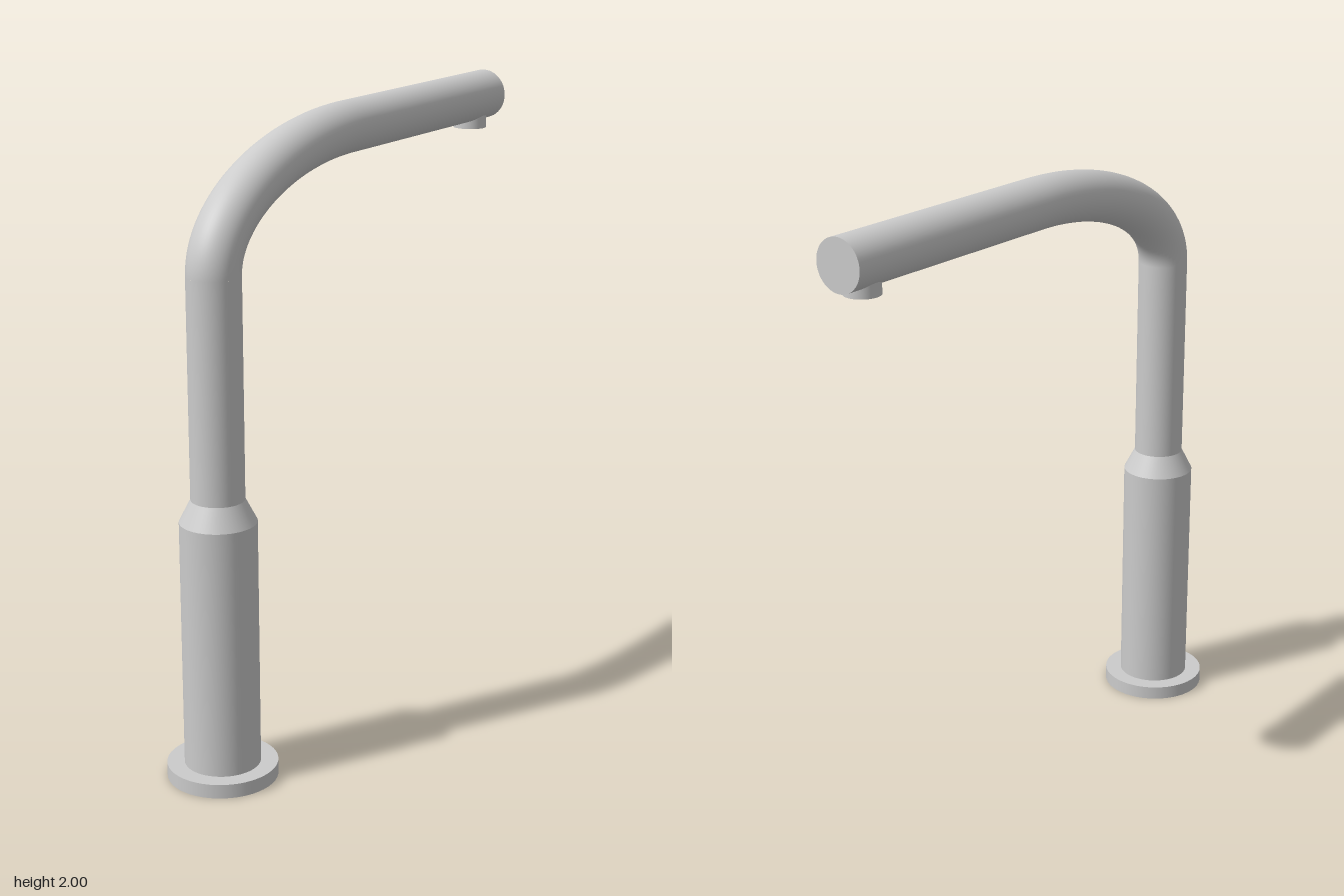
import * as THREE from 'three';

const SIDES = 48;
const BASE_Z = 0.705; // axis of the upright column
const PIPE_R = 0.082;
const BEND_Y = 1.58, TOP_Y = 1.918, END_Z = -0.875;

export function createModel() {
  const group = new THREE.Group();
  const material = new THREE.MeshStandardMaterial({ color: 0xcccccc });

  const add = (name, geometry, x, y, z) => {
    const mesh = new THREE.Mesh(geometry, material);
    mesh.name = name;
    mesh.position.set(x, y, z);
    group.add(mesh);
    return mesh;
  };
  const cylinder = (rTop, rBottom, height, open = false) =>
    new THREE.CylinderGeometry(rTop, rBottom, height, SIDES, 1, open);

  // Upright column: flange, thick body, tapered shoulder, slim neck
  add('baseFlange', cylinder(0.172, 0.172, 0.045), 0, 0.0225, BASE_Z);
  add('body', cylinder(0.118, 0.118, 0.785, true), 0, 0.4375, BASE_Z);
  add('shoulder', cylinder(PIPE_R, 0.118, 0.07, true), 0, 0.865, BASE_Z);
  add('neck', cylinder(PIPE_R, PIPE_R, BEND_Y - 0.9, true), 0, (BEND_Y + 0.9) / 2, BASE_Z);

  // Quarter-ellipse bend from the neck into the spout
  const k = 0.5523;
  const bend = new THREE.CubicBezierCurve3(
    new THREE.Vector3(0, BEND_Y, BASE_Z),
    new THREE.Vector3(0, BEND_Y + k * (TOP_Y - BEND_Y), BASE_Z),
    new THREE.Vector3(0, TOP_Y, BASE_Z * k),
    new THREE.Vector3(0, TOP_Y, 0)
  );
  add('bend', new THREE.TubeGeometry(bend, 48, PIPE_R, SIDES), 0, 0, 0);

  // Horizontal spout with a closed end
  const spout = add('spout', cylinder(PIPE_R, PIPE_R, -END_Z), 0, TOP_Y, END_Z / 2);
  spout.rotation.x = -Math.PI / 2;

  // Outlet nozzle under the tip
  add('outlet', cylinder(0.056, 0.056, 0.06), 0, 1.845, -0.78);

  return group;
}
